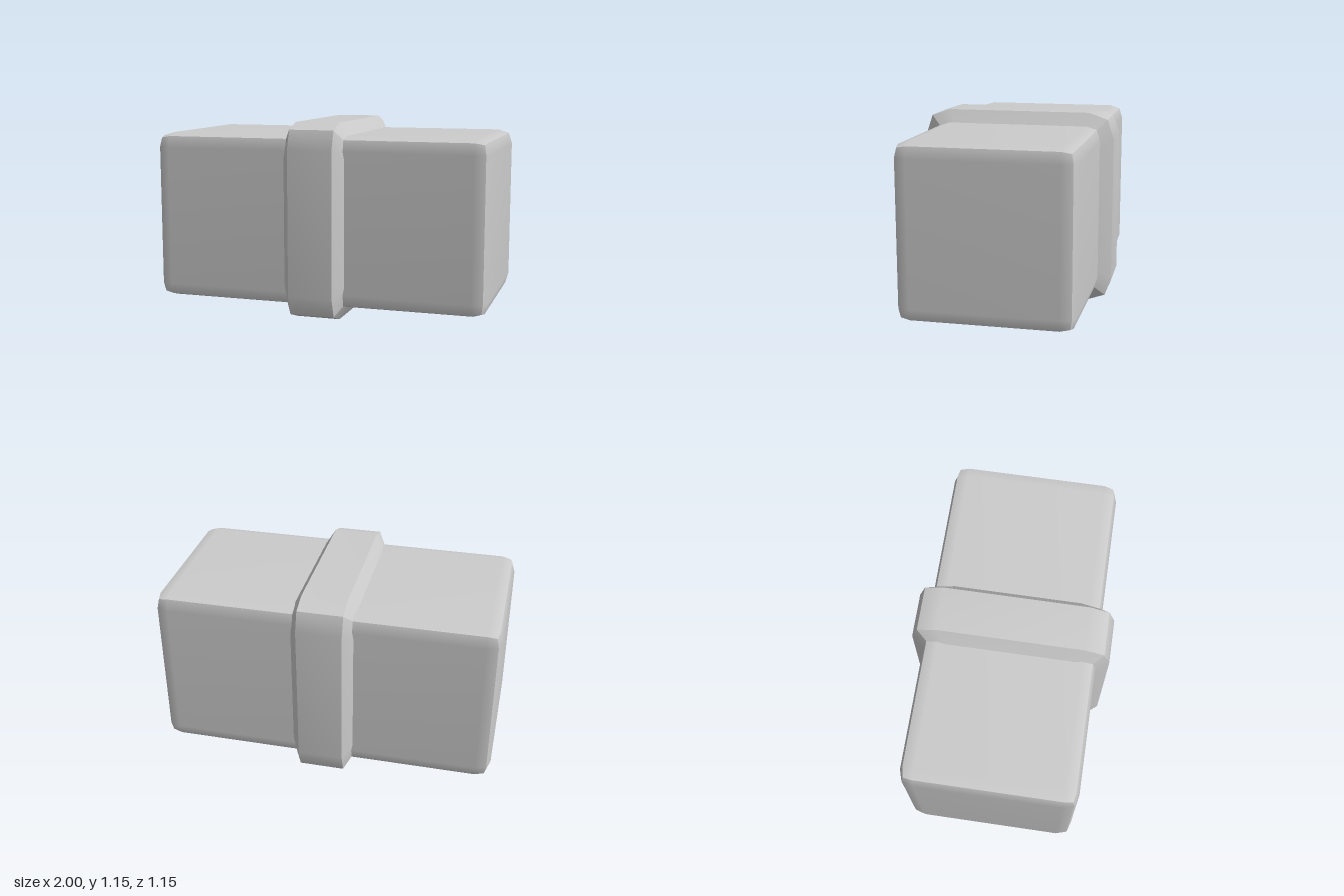
import * as THREE from 'three';
import { mergeGeometries } from 'three/addons/utils/BufferGeometryUtils.js';

const CENTRE_Y = 0.575;

// Block with flat faces that fall away slightly towards every edge and corner
function softBlock(hx, hy, hz) {
  const geo = new THREE.BoxGeometry(2, 2, 2, 3, 3, 3);
  const pos = geo.attributes.position;
  const inset = [0, 0, 0.02, 0.03]; // by number of faces meeting at the vertex
  const half = [hx, hy, hz];
  for (let i = 0; i < pos.count; i++) {
    const v = [pos.getX(i), pos.getY(i), pos.getZ(i)];
    const outer = v.filter((c) => Math.abs(c) > 0.9).length;
    const p = v.map((c, k) => Math.sign(c) * (half[k] - (Math.abs(c) > 0.9 ? inset[outer] : 0.085)));
    pos.setXYZ(i, ...p);
  }
  geo.computeVertexNormals();
  return geo;
}

// One side of the collar between two cross-sections; sections are { x, flat, corner, inner }
function collarStrip(a, b) {
  const points = [];
  for (const s of [a, b]) {
    points.push(s.x, s.corner, -s.corner, s.x, s.flat, -s.inner, s.x, s.flat, s.inner, s.x, s.corner, s.corner);
  }
  const index = [];
  for (let j = 0; j < 3; j++) index.push(j, j + 1, j + 5, j, j + 5, j + 4);
  const geo = new THREE.BufferGeometry();
  geo.setAttribute('position', new THREE.Float32BufferAttribute(points, 3));
  geo.setIndex(index);
  geo.computeVertexNormals();
  return geo;
}

function collarGeometry() {
  const rim = (x) => ({ x, flat: 0.575, corner: 0.537, inner: 0.425 });
  const foot = (x) => ({ x, flat: 0.495, corner: 0.462, inner: 0.37 });
  const sections = [foot(-0.185), rim(-0.132), rim(0.132), foot(0.185)];
  const strips = [];
  for (let side = 0; side < 4; side++) {
    for (let i = 0; i < 3; i++) {
      strips.push(collarStrip(sections[i], sections[i + 1]).rotateX(side * Math.PI / 2));
    }
  }
  return mergeGeometries(strips);
}

export function createModel() {
  const group = new THREE.Group();
  const material = new THREE.MeshStandardMaterial({ color: 0xcccccc });
  const add = (name, geometry) => {
    const mesh = new THREE.Mesh(geometry, material);
    mesh.name = name;
    mesh.position.y = CENTRE_Y;
    group.add(mesh);
  };

  // Long block running left to right
  add('body', softBlock(1, 0.5, 0.5));
  // Raised bevelled band around the middle
  add('collar', collarGeometry());

  return group;
}
